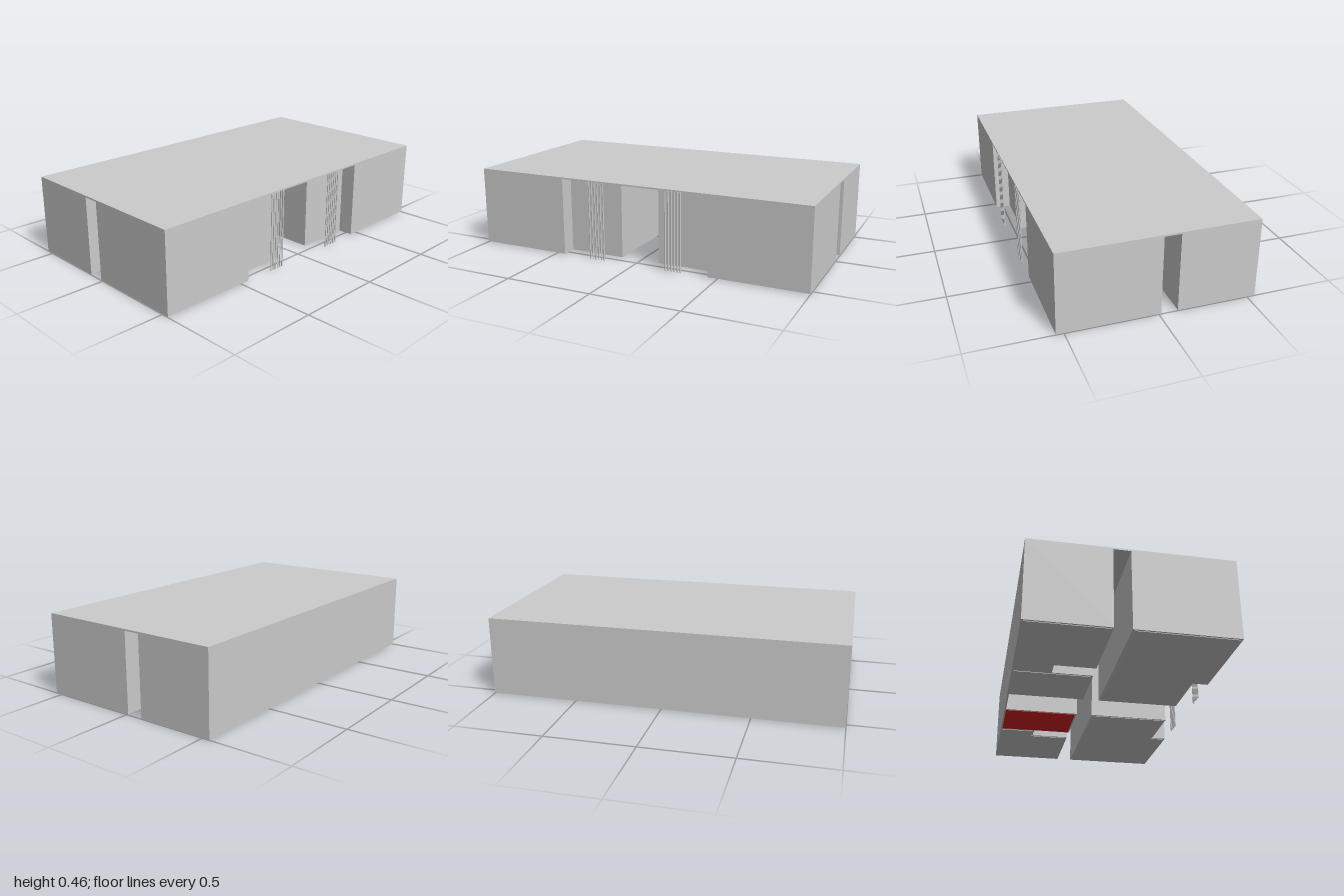
import * as THREE from 'three';

const grey = new THREE.MeshStandardMaterial({ color: 0xcccccc, flatShading: true });
const red = new THREE.MeshStandardMaterial({ color: 0xdd2222, flatShading: true });

const FRONT = 0.542, BACK = -0.544; // outer walls in z
const CEIL = 0.447, TOP = 0.456, SKIRT = 0.003;

// Footprints of the right-hand blocks as [x, z] corners, shrunk by e on every side
const footprints = {
  frontBlock: e => [[0.115 + e, -0.012 + e], [1 - e, -0.012 + e], [1 - e, FRONT - e],
    [0.447 + e, FRONT - e], [0.447 + e, 0.455 - e], [0.115 + e, 0.455 - e]],
  backOuterBlock: e => [[0.447 + e, BACK + e], [1 - e, BACK + e], [1 - e, -0.104 - e],
    [0.54 + e, -0.104 - e], [0.54 + e, -0.33 - e], [0.447 + e, -0.33 - e]],
  backInnerBlock: e => [[0.115 + e, BACK + e], [0.447 - e, BACK + e],
    [0.447 - e, -0.104 - e], [0.115 + e, -0.104 - e]],
};

// Upright prism over a footprint, from y0 to y1
function prism(corners, side, y0, y1) {
  const shape = new THREE.Shape(corners.map(([x, z]) => new THREE.Vector2(side * x, -z)));
  const geo = new THREE.ExtrudeGeometry(shape, { depth: y1 - y0, bevelEnabled: false });
  return geo.rotateX(-Math.PI / 2).translate(0, y0, 0);
}

export function createModel() {
  const group = new THREE.Group();
  const add = (geo, name, mat = grey) => {
    const mesh = new THREE.Mesh(geo, mat);
    mesh.name = name;
    group.add(mesh);
    return mesh;
  };

  // Blocks on both sides of the middle passage, each with an inset floor plate
  for (const side of [1, -1]) {
    const label = side > 0 ? 'Left' : 'Right';
    for (const [name, corners] of Object.entries(footprints)) {
      const isRed = name === 'backInnerBlock' && side > 0;
      add(prism(corners(0), side, SKIRT, CEIL), name + label);
      add(prism(corners(0.01), side, 0, SKIRT + 0.001), name + label + 'Floor', isRed ? red : grey);
    }
  }

  // Wall closing the back end of the middle passage
  add(new THREE.BoxGeometry(0.23, CEIL - SKIRT, 0.01), 'passageEndWall')
    .position.set(0, (CEIL + SKIRT) / 2, BACK + 0.005);

  // Flat roof over everything
  add(new THREE.BoxGeometry(2, TOP - CEIL, FRONT - BACK), 'roof')
    .position.set(0, (TOP + CEIL) / 2, (FRONT + BACK) / 2);

  // Two rows of slim poles along the front edge
  const poleGeo = new THREE.CylinderGeometry(0.004, 0.004, CEIL - 0.002, 8);
  for (const centre of [-0.228, 0.243]) {
    for (let i = 0; i < 6; i++) {
      add(poleGeo, 'frontPole').position.set(centre + (i - 2.5) * 0.0178, CEIL / 2, 0.5425);
    }
  }
  return group;
}
